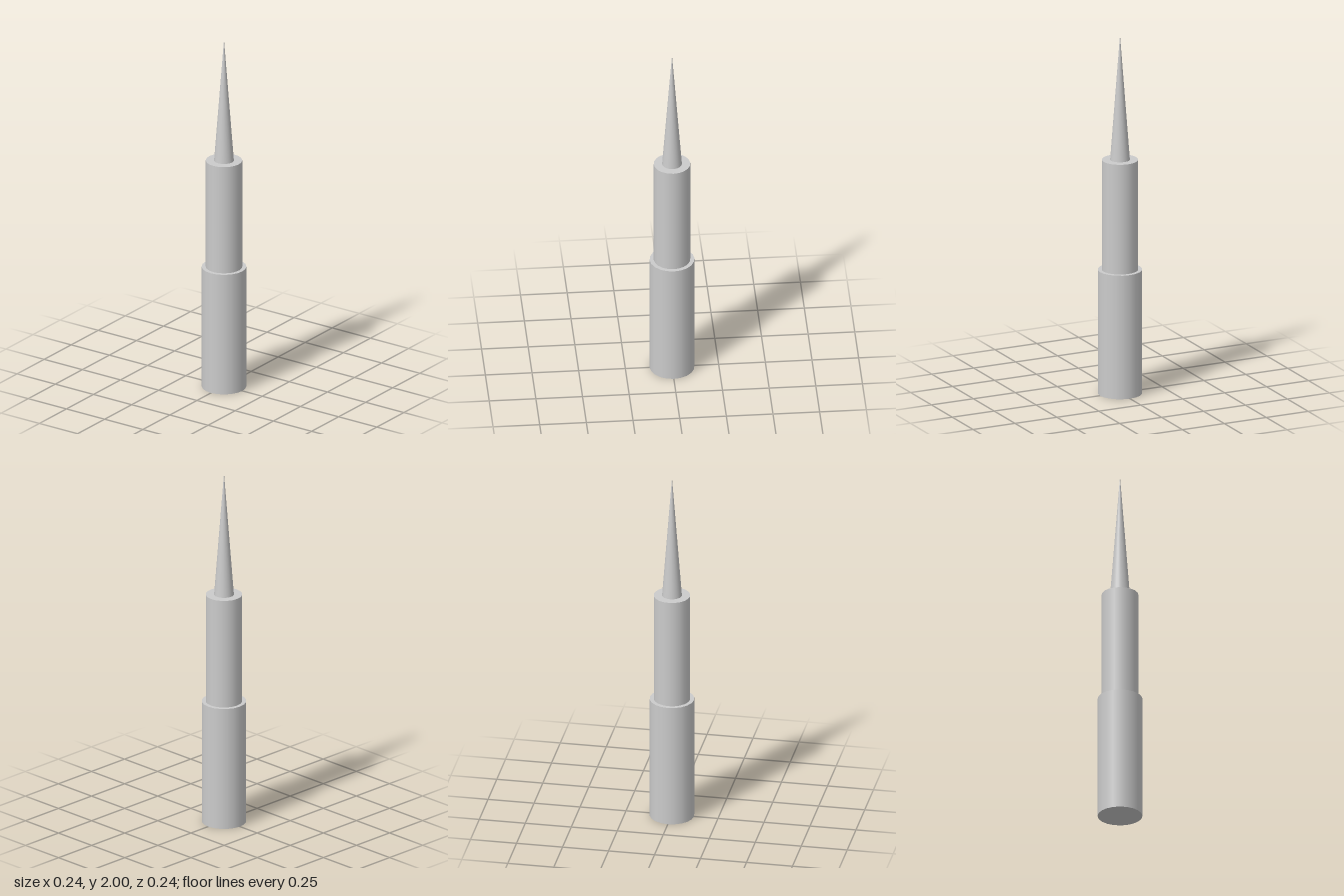
import * as THREE from 'three';

const material = new THREE.MeshStandardMaterial({ color: 0xcccccc });

// Upright tapered section standing between two heights
function section(name, rBottom, rTop, y0, y1, sides) {
  const geometry = new THREE.CylinderGeometry(rTop, rBottom, y1 - y0, sides);
  geometry.translate(0, (y0 + y1) / 2, 0);
  const mesh = new THREE.Mesh(geometry, material);
  mesh.name = name;
  return mesh;
}

export function createModel() {
  const group = new THREE.Group();
  group.name = 'steppedSpire';
  group.add(
    section('lowerShaft', 0.12, 0.12, 0, 0.69, 20),
    section('upperShaft', 0.098, 0.098, 0.69, 1.303, 20),
    section('pointedTip', 0.053, 0, 1.303, 2, 32),
  );
  return group;
}
